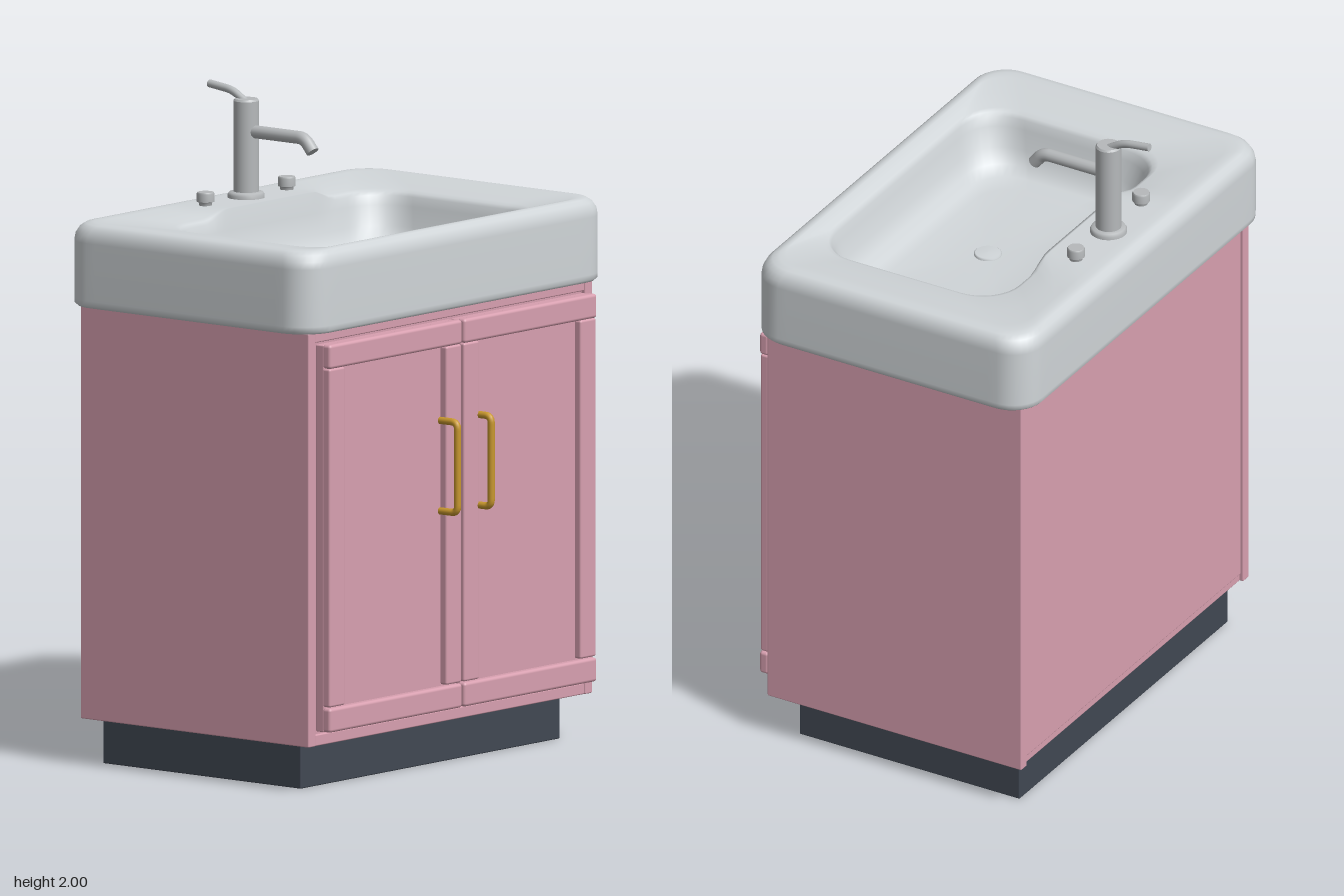
import * as THREE from 'three';
import { RoundedBoxGeometry } from 'three/addons/geometries/RoundedBoxGeometry.js';

const paint = (name, color) => Object.assign(new THREE.MeshStandardMaterial({ color }), { name });

// Point j of a rounded rectangle running round from the right side through the front
function rectLoop(hx, zBack, zFront, r) {
  const zc = (zBack + zFront) / 2, hz = (zFront - zBack) / 2, pts = [];
  const corners = [[1, 1], [-1, 1], [-1, -1], [1, -1]];
  corners.forEach(([sx, sz], k) => {
    const cx = sx * (hx - r), cz = zc + sz * (hz - r);
    for (let i = 0; i <= 8; i++) {
      const a = (k + i / 8) * Math.PI / 2;
      pts.push([cx + r * Math.cos(a), cz + r * Math.sin(a)]);
    }
    // subdivide the straight side up to the next corner
    const [nx, nz] = corners[(k + 1) % 4];
    const ex = nx * (hx - r), ez = zc + nz * (hz - r);
    const a = (k + 1) * Math.PI / 2, ox = r * Math.cos(a), oz = r * Math.sin(a);
    for (let i = 1; i < 24; i++) {
      const t = i / 24;
      pts.push([cx + (ex - cx) * t + ox, cz + (ez - cz) * t + oz]);
    }
  });
  return pts;
}

// Basin: one skin from the underside, over the rim and down into the bowl
function basinGeometry() {
  const TOP = 1.655;
  const rings = [ // half width, back z, front z, corner radius, height
    [0.60, -0.40, 0.35, 0.06, 1.40], [0.70, -0.49, 0.435, 0.09, 1.40],
    [0.712, -0.502, 0.447, 0.10, 1.402], [0.719, -0.509, 0.454, 0.10, 1.41],
    [0.72, -0.51, 0.455, 0.10, 1.425], [0.72, -0.51, 0.455, 0.10, 1.60],
    [0.717, -0.507, 0.452, 0.10, 1.622], [0.708, -0.498, 0.443, 0.10, 1.641],
    [0.694, -0.484, 0.430, 0.095, 1.652], [0.675, -0.465, 0.415, 0.09, TOP],
    [0.65, -0.44, 0.405, 0.09, 1.654], [0.58, -0.37, 0.385, 0.11, 1.645],
    [0.52, -0.30, 0.365, 0.13, 1.634], [0.505, -0.288, 0.36, 0.13, 1.628],
    [0.495, -0.28, 0.355, 0.13, 1.618], [0.487, -0.272, 0.348, 0.13, 1.59],
    [0.47, -0.255, 0.332, 0.13, 1.53], [0.45, -0.235, 0.31, 0.13, 1.488],
    [0.42, -0.205, 0.28, 0.12, 1.465], [0.37, -0.16, 0.24, 0.11, 1.455],
    [0.20, -0.06, 0.14, 0.08, 1.45],
  ];
  const pos = [], index = [];
  let n = 0;
  rings.forEach(([hx, zb, zf, r, y], i) => {
    const loop = rectLoop(hx, zb, zf, r);
    n = loop.length;
    for (const [x, z] of loop) {
      // level ledge under the tap, the rest of the deck dips to the bowl
      const level = i >= 9 && i <= 14 && z < -0.2
        ? 1 - THREE.MathUtils.smoothstep(Math.abs(x), 0.2, 0.31) : 0;
      pos.push(x, y + (TOP - y) * level, z);
    }
  });
  pos.push(0, 1.449, 0.045);
  const centre = rings.length * n;
  for (let i = 0; i < rings.length; i++) {
    for (let j = 0; j < n; j++) {
      const k = (j + 1) % n, a = i * n + j, b = i * n + k;
      if (i === rings.length - 1) index.push(a, centre, b);
      else index.push(a, a + n, b, b, a + n, b + n);
    }
  }
  const g = new THREE.BufferGeometry();
  g.setAttribute('position', new THREE.Float32BufferAttribute(pos, 3));
  g.setIndex(index);
  g.computeVertexNormals();
  return g;
}

export function createModel() {
  const model = new THREE.Group();
  model.name = 'washbasinCabinet';
  const pink = paint('pinkPaint', 0xd8a0b0);
  const ceramic = paint('ceramic', 0xd0d5d8);
  const steel = paint('steel', 0xb6b9bb);
  const brass = paint('brass', 0xc8982e);
  const dark = paint('darkPlinth', 0x414853);

  const add = (parent, name, geometry, material) => {
    const mesh = new THREE.Mesh(geometry, material);
    mesh.name = name;
    parent.add(mesh);
    return mesh;
  };
  // Box given by its limits, with softened edges
  const box = (parent, name, mat, [x0, x1], [y0, y1], [z0, z1], r = 0.004) =>
    add(parent, name, new RoundedBoxGeometry(x1 - x0, y1 - y0, z1 - z0, 2, r), mat)
      .position.set((x0 + x1) / 2, (y0 + y1) / 2, (z0 + z1) / 2);
  // Upright turned part from radius and height pairs
  const turned = (parent, name, mat, x, z, profile) =>
    add(parent, name, new THREE.LatheGeometry(profile.map(p => new THREE.Vector2(...p)), 32), mat)
      .position.set(x, 0, z);
  // Round bar through points joined by short bends, with closed ends
  const bar = (parent, name, mat, points, radius, bend) => {
    const v = points.map(p => new THREE.Vector3(...p));
    const path = new THREE.CurvePath();
    let from = v[0];
    for (let i = 1; i < v.length - 1; i++) {
      const a = v[i].clone().add(v[i - 1].clone().sub(v[i]).setLength(bend));
      const b = v[i].clone().add(v[i + 1].clone().sub(v[i]).setLength(bend));
      path.add(new THREE.LineCurve3(from, a));
      path.add(new THREE.QuadraticBezierCurve3(a, v[i], b));
      from = b;
    }
    const last = v[v.length - 1];
    path.add(new THREE.LineCurve3(from, last));
    add(parent, name, new THREE.TubeGeometry(path, 64, radius, 16), mat);
    [[v[0], v[1]], [last, v[v.length - 2]]].forEach(([end, inner]) => {
      const cap = add(parent, name + 'End', new THREE.CircleGeometry(radius, 16), mat);
      cap.position.copy(end);
      cap.lookAt(end.clone().multiplyScalar(2).sub(inner));
    });
  };

  // Plinth and carcass
  box(model, 'plinth', dark, [-0.617, 0.617], [0, 0.145], [-0.43, 0.34]);
  const cabinet = new THREE.Group();
  cabinet.name = 'cabinet';
  model.add(cabinet);
  for (const s of [-1, 1]) {
    const x = s > 0 ? [0.64, 0.675] : [-0.675, -0.64];
    box(cabinet, 'sidePanel', pink, x, [0.14, 1.402], [-0.47, 0.418]);
  }
  box(cabinet, 'carcass', pink, [-0.642, 0.642], [0.165, 1.40], [-0.462, 0.405]);
  box(cabinet, 'bottomBoard', pink, [-0.642, 0.642], [0.14, 0.175], [-0.458, 0.415]);
  box(cabinet, 'topRail', pink, [-0.642, 0.642], [1.37, 1.402], [0.38, 0.415]);

  // Mirrored pair of framed doors with bar handles
  for (const s of [-1, 1]) {
    const door = new THREE.Group();
    door.name = s > 0 ? 'leftDoor' : 'rightDoor';
    model.add(door);
    const span = (a, b) => (s > 0 ? [a, b] : [-b, -a]);
    box(door, 'doorPanel', pink, span(0.006, 0.634), [0.185, 1.365], [0.412, 0.443]);
    for (const [a, b] of [[0.006, 0.078], [0.56, 0.634]])
      box(door, 'doorStile', pink, span(a, b), [0.262, 1.294], [0.438, 0.467], 0.007);
    for (const y of [0.185, 1.294])
      box(door, 'doorRail', pink, span(0.005, 0.636), [y, y + 0.074], [0.438, 0.47], 0.01);
    const x = s * 0.08;
    bar(door, 'handle', brass,
      [[x, 0.792, 0.44], [x, 0.792, 0.511], [x, 1.068, 0.511], [x, 1.068, 0.44]], 0.011, 0.022);
  }

  // Basin and drain
  add(model, 'basin', basinGeometry(), ceramic);
  turned(model, 'drain', ceramic, 0, 0.045,
    [[0.042, 1.445], [0.042, 1.454], [0.038, 1.457], [0, 1.458]]);

  // Tap
  const tap = new THREE.Group();
  tap.name = 'tap';
  model.add(tap);
  const tz = -0.377;
  turned(tap, 'tapFlange', steel, 0, tz,
    [[0.056, 1.65], [0.056, 1.664], [0.051, 1.672], [0.038, 1.674]]);
  turned(tap, 'tapColumn', steel, 0, tz,
    [[0.039, 1.66], [0.039, 1.95], [0.039, 1.95], [0.035, 1.956], [0.035, 1.956], [0, 1.956]]);
  bar(tap, 'spout', steel,
    [[0, 1.858, tz], [0, 1.858, -0.15], [0, 1.819, -0.118]], 0.02, 0.022);
  bar(tap, 'lever', steel,
    [[0, 1.945, -0.378], [0, 1.977, -0.43], [0, 1.988, -0.52]], 0.012, 0.025);

  // Side knobs
  for (const s of [-1, 1])
    turned(model, 'knob', steel, s * 0.193, tz, [[0.02, 1.65], [0.02, 1.663], [0.027, 1.666],
      [0.027, 1.666], [0.027, 1.69], [0.024, 1.695], [0.024, 1.695], [0, 1.695]]);

  return model;
}
